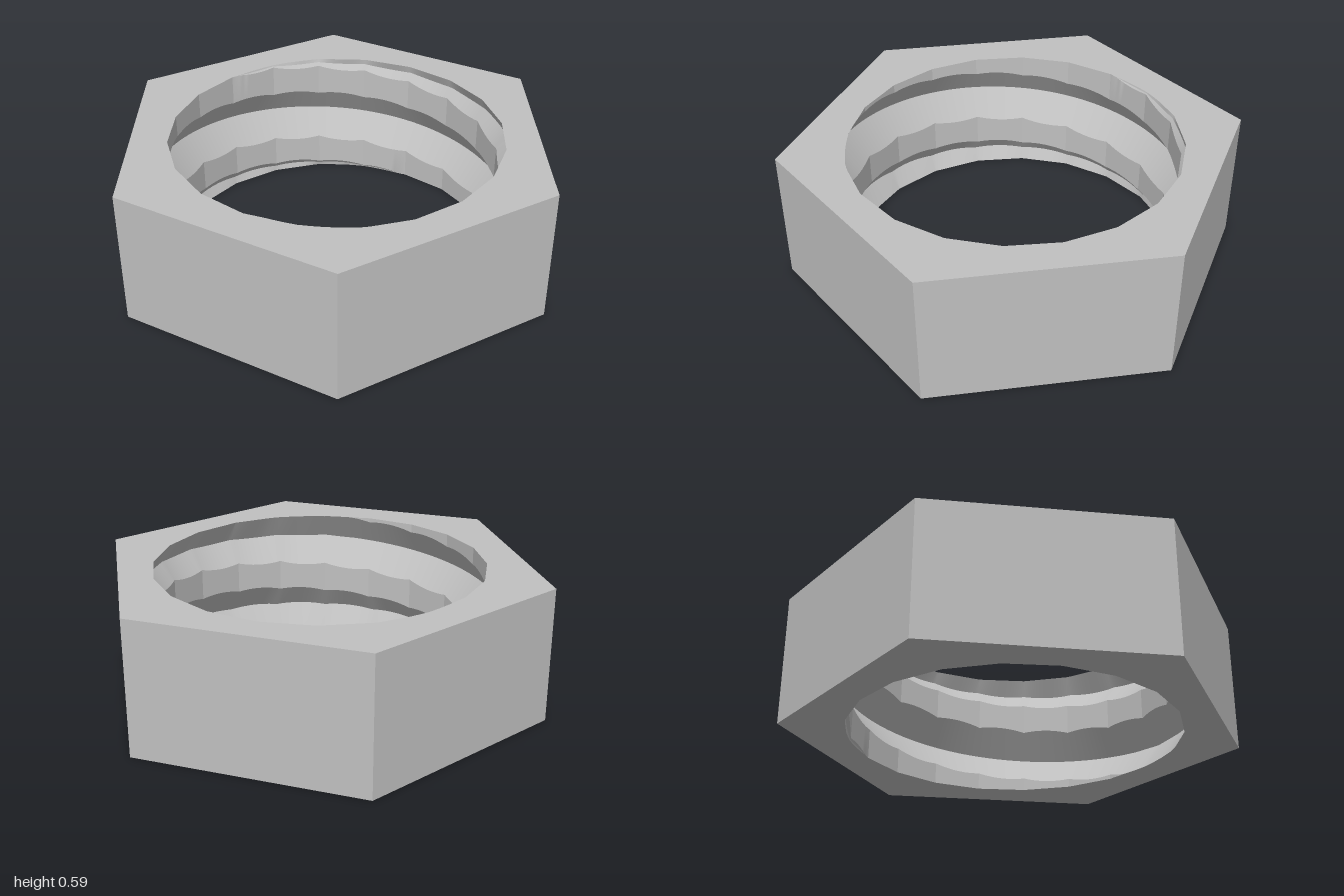
import * as THREE from 'three';
import { toCreasedNormals } from 'three/addons/utils/BufferGeometryUtils.js';

const HEIGHT = 0.59, BORE = 0.71, PITCH = 0.386, GROOVE = 0.24, DEPTH = 0.085;
const COLUMNS = 240;
const clamp = THREE.MathUtils.clamp;

// Radius of a regular polygon (one corner on +x) at angle a
function polygonRadius(a, sides, corner) {
  const step = (2 * Math.PI) / sides;
  const off = (((a % step) + step) % step) - step / 2;
  return corner * Math.cos(step / 2) / Math.cos(off);
}

// Bore cross-section at angle a, top to bottom, as [radius, y].
// V grooves wind down as a right-hand helix and shrink out at both faces.
function boreProfile(a) {
  const crest = polygonRadius(a, 20, BORE);
  const spread = (BORE - crest) * (GROOVE / 2) / DEPTH;
  const turn = a / (2 * Math.PI) - 235 / 360;
  let topOpen = 0, bottomOpen = 0;
  const grooves = [0, 1, 2].map((k) => {
    const low = 0.56 - PITCH * (turn + k) - spread;
    const high = low + GROOVE + 2 * spread;
    topOpen = Math.max(topOpen, Math.min(1, (HEIGHT - low) / 0.03, (high - HEIGHT) / 0.03));
    bottomOpen = Math.max(bottomOpen, Math.min(1, high / 0.03, -low / 0.03));
    return [clamp(high, 0, HEIGHT), clamp(low, 0, HEIGHT)];
  });
  const topR = crest + 0.015 * topOpen, bottomR = crest + 0.015 * bottomOpen;
  const edge = (y) => [y >= HEIGHT ? topR : y <= 0 ? bottomR : crest, y];
  const points = [[topR, HEIGHT]];
  for (const [high, low] of grooves) {
    const size = high - low;
    const root = size > 1e-6
      ? [crest + (DEPTH + BORE - crest) * Math.min(1, size / GROOVE), (high + low) / 2]
      : edge(high);
    points.push(edge(high), root, edge(low));
  }
  points.push([bottomR, 0]);
  return points;
}

// Sweep a changing profile around y, leaving out collapsed triangles
function sweep(profile, crease) {
  const pos = [];
  const column = (i) => {
    const a = (i / COLUMNS) * 2 * Math.PI;
    return profile(a).map(([r, y]) => new THREE.Vector3(r * Math.cos(a), y, r * Math.sin(a)));
  };
  const tri = new THREE.Triangle();
  const add = (a, b, c) => {
    if (tri.set(a, b, c).getArea() > 1e-9) pos.push(...a.toArray(), ...b.toArray(), ...c.toArray());
  };
  let here = column(0);
  for (let i = 1; i <= COLUMNS; i++) {
    const next = column(i);
    for (let j = 0; j + 1 < here.length; j++) {
      add(here[j + 1], next[j + 1], next[j]);
      add(here[j + 1], next[j], here[j]);
    }
    here = next;
  }
  const g = new THREE.BufferGeometry();
  g.setAttribute('position', new THREE.Float32BufferAttribute(pos, 3));
  return toCreasedNormals(g, crease);
}

export function createModel() {
  const group = new THREE.Group();
  group.name = 'hexNut';
  const steel = new THREE.MeshStandardMaterial({ color: 0xc0c0c0 });
  steel.name = 'steel grey';

  // Six-sided body: bottom face, outer walls and top face
  const body = new THREE.Mesh(sweep((a) => {
    const bore = boreProfile(a), hex = polygonRadius(a, 6, 1);
    return [bore[bore.length - 1], [hex, 0], [hex, HEIGHT], bore[0]];
  }, 0.25), steel);
  body.name = 'hexBody';

  // Inner wall with the helical thread
  const bore = new THREE.Mesh(sweep(boreProfile, 0.25), steel);
  bore.name = 'threadedBore';

  group.add(body, bore);
  return group;
}
